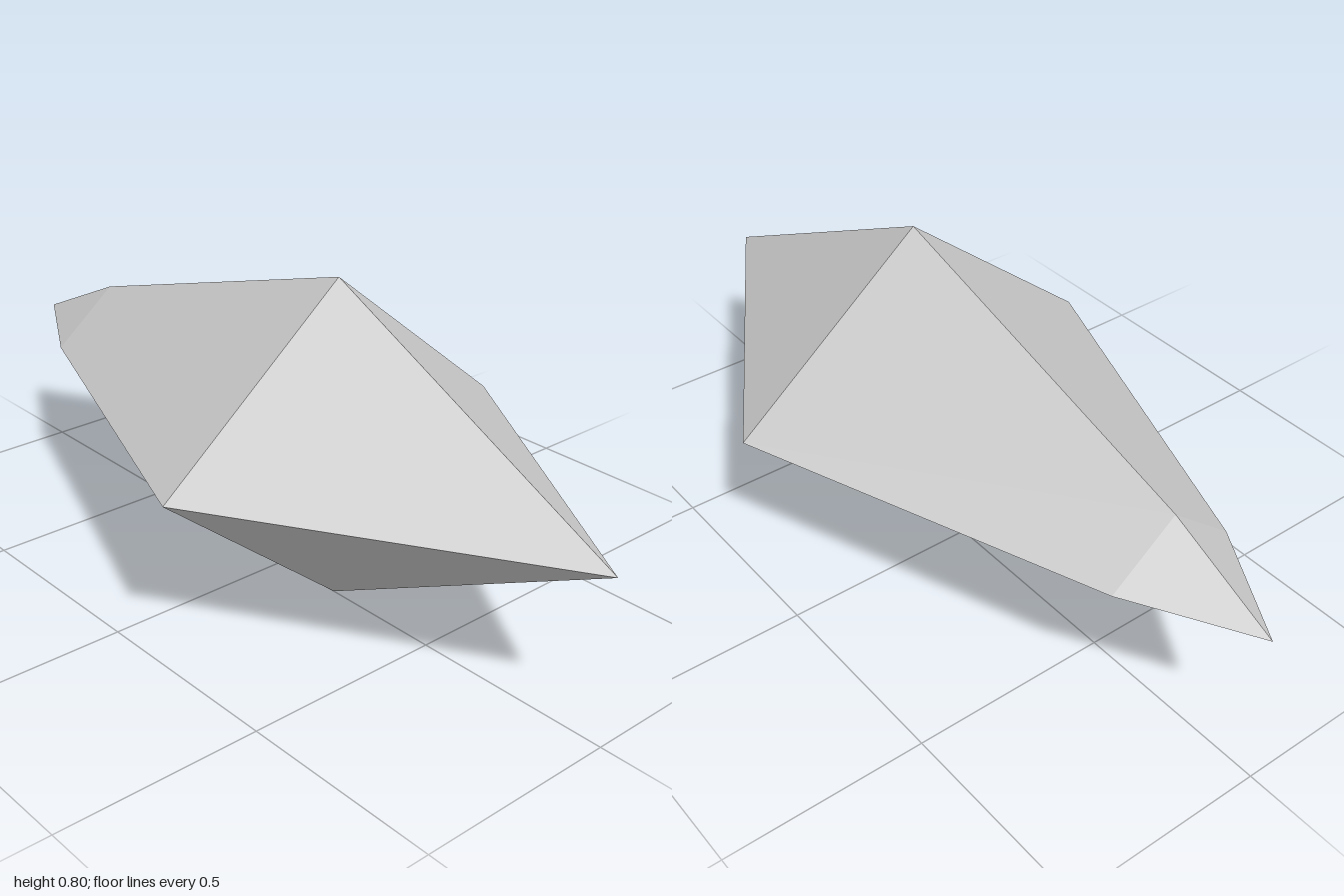
import * as THREE from 'three';

export function createModel() {
  const group = new THREE.Group();
  group.name = 'crystal';

  const grey = new THREE.MeshStandardMaterial({ color: 0xcccccc, flatShading: true });
  grey.name = 'pale grey';

  // Four-sided shard: radius and position along its long axis, blunt tip to sharp tip
  const profile = [[0, -1], [0.133, -0.71], [0.4, 0.19], [0, 1]]
    .map(([r, x]) => new THREE.Vector2(r, x));
  const geometry = new THREE.LatheGeometry(profile, 4);
  geometry.rotateZ(-Math.PI / 2); // lay the long axis along x
  geometry.scale(1, 1, 1.24); // diamond section, wider than tall
  geometry.translate(0, 0.4, 0);

  const shard = new THREE.Mesh(geometry, grey);
  shard.name = 'shard';
  group.add(shard);
  return group;
}
